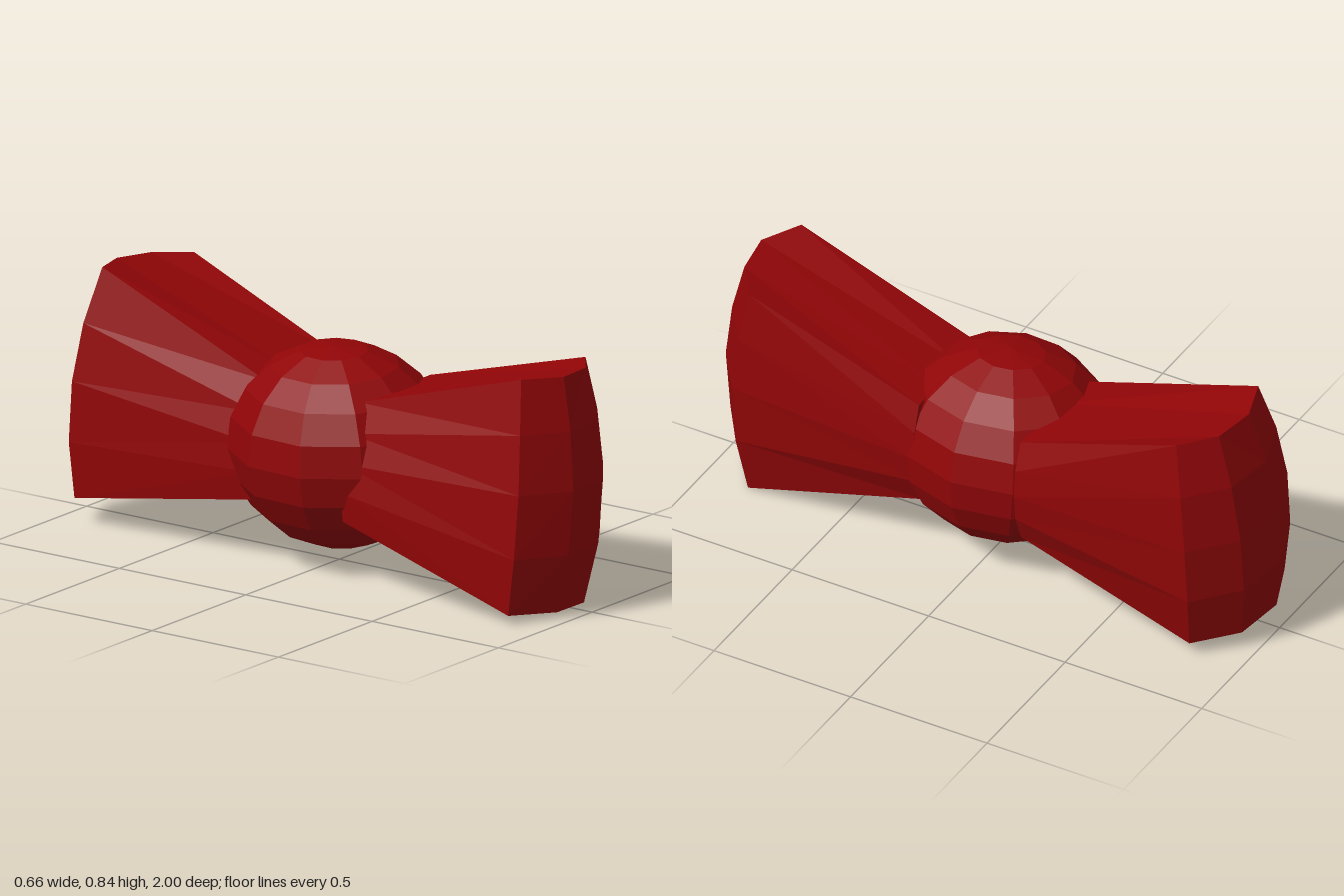
import * as THREE from 'three';

const COLS = 3, ROWS = 4;

// Flared wing: a curved end patch joined to a smaller patch buried in the knot.
// rows, bottom to top: [xLow, xHigh, yAtLow, yAtHigh, depthLoss]
// cols: [fraction, depth, how strongly the depth loss acts]
function wingGeometry(rows, cols, side, shift) {
  const outer = (i, j) => {
    const [x0, x1, y0, y1, loss] = rows[j], [f, depth, curl] = cols[i];
    return [x0 + (x1 - x0) * f, y0 + (y1 - y0) * f, side * (depth - loss * curl)];
  };
  const inner = (i, j) => [outer(i, j)[0] + shift, 0.215 + 0.375 * j / ROWS, side * 0.19];
  const pos = [];
  const quad = (a, b, c, d) => {
    const corners = side > 0 ? [a, b, c, a, c, d] : [a, c, b, a, d, c];
    corners.forEach(p => pos.push(...p));
  };
  // end patches
  for (let i = 0; i < COLS; i++) {
    for (let j = 0; j < ROWS; j++) {
      quad(outer(i, j), outer(i + 1, j), outer(i + 1, j + 1), outer(i, j + 1));
      quad(inner(i, j), inner(i, j + 1), inner(i + 1, j + 1), inner(i + 1, j));
    }
  }
  // walls around the rim, counter-clockwise
  const rim = [];
  for (let i = 0; i < COLS; i++) rim.push([i, 0]);
  for (let j = 0; j < ROWS; j++) rim.push([COLS, j]);
  for (let i = COLS; i > 0; i--) rim.push([i, ROWS]);
  for (let j = ROWS; j > 0; j--) rim.push([0, j]);
  rim.forEach((a, k) => {
    const b = rim[(k + 1) % rim.length];
    quad(inner(...a), inner(...b), outer(...b), outer(...a));
  });
  const g = new THREE.BufferGeometry();
  g.setAttribute('position', new THREE.Float32BufferAttribute(pos, 3));
  g.computeVertexNormals();
  return g;
}

export function createModel() {
  const group = new THREE.Group();
  group.name = 'bowTie';
  const red = new THREE.MeshStandardMaterial({ color: 0x900507, flatShading: true });
  red.name = 'deep red';
  const add = (name, geometry) => {
    const mesh = new THREE.Mesh(geometry, red);
    mesh.name = name;
    group.add(mesh);
    return mesh;
  };

  // Round centre knot, longer front to back and slightly tilted
  const ball = new THREE.SphereGeometry(1, 11, 10);
  ball.rotateY(Math.PI - 0.05);
  ball.scale(0.335, 0.335, 0.37);
  const knot = add('knot', ball);
  knot.position.set(-0.004, 0.385, 0);
  knot.rotation.z = 0.08;

  // Front wing
  add('frontWing', wingGeometry([
    [-0.275, 0.187, 0.03, 0.0, 0.033],
    [-0.28, 0.225, 0.22, 0.2, 0.007],
    [-0.265, 0.235, 0.43, 0.41, 0],
    [-0.235, 0.222, 0.62, 0.6, 0.016],
    [-0.19, 0.195, 0.79, 0.77, 0.045],
  ], [[0, 0.905, 1], [0.33, 1.0, 1.45], [0.7, 0.98, 1.45], [1, 0.87, 0.9]], 1, 0.035));

  // Back wing
  add('backWing', wingGeometry([
    [-0.18, 0.275, 0.085, 0.05, 0.015],
    [-0.19, 0.312, 0.27, 0.24, 0],
    [-0.18, 0.322, 0.47, 0.44, 0.005],
    [-0.15, 0.312, 0.66, 0.64, 0.028],
    [-0.1, 0.278, 0.84, 0.815, 0.066],
  ], [[0, 0.93, 1], [0.36, 1.0, 1.4], [0.73, 0.97, 1.4], [1, 0.84, 0.9]], -1, -0.035));

  return group;
}
